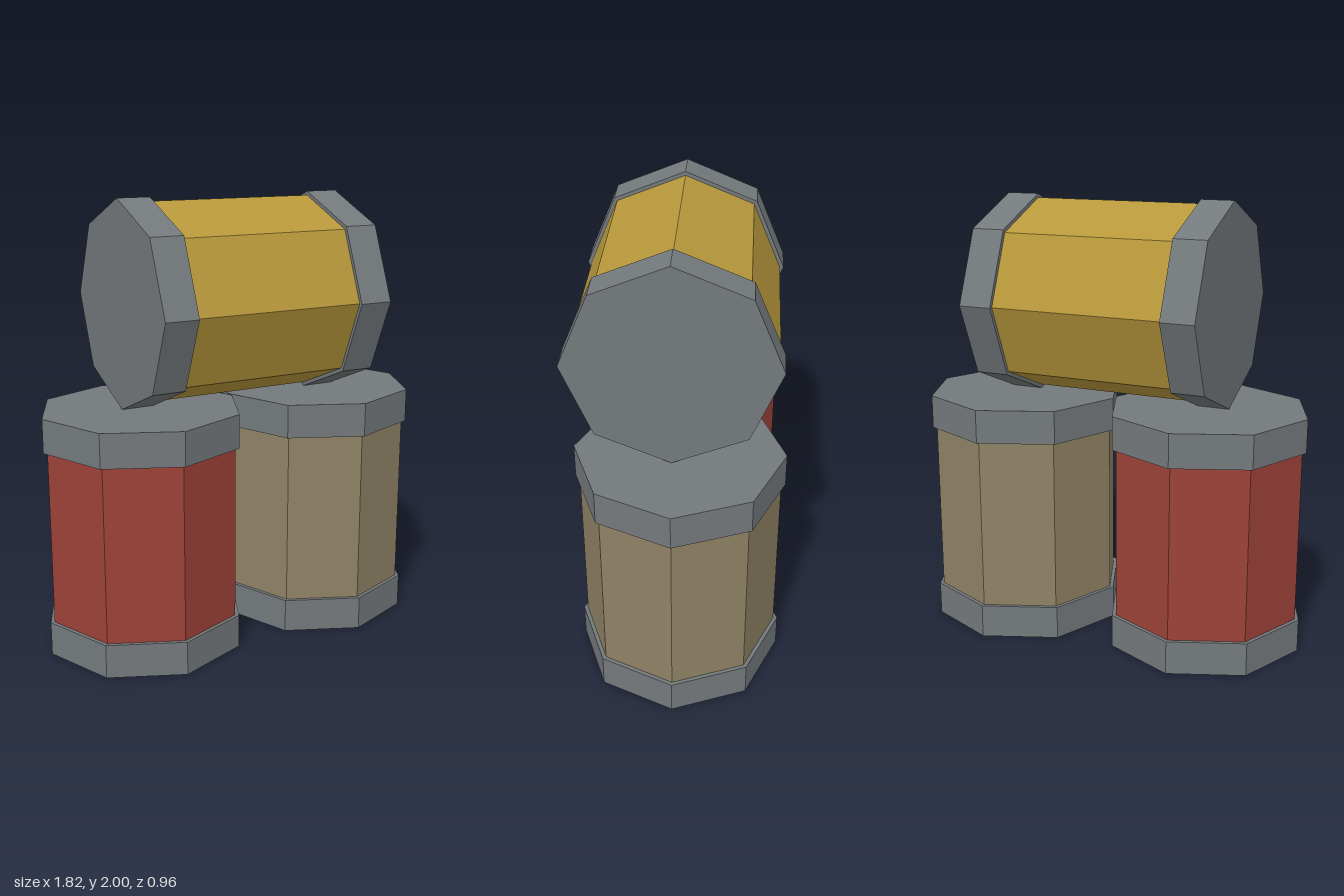
import * as THREE from 'three';

const SIDES = 8;
const HEIGHT = 1.09;
const CAP = 0.152;
const CAP_RADIUS = 0.455;
const BODY_RADIUS = 0.437;

const material = (name, color) => {
  const m = new THREE.MeshStandardMaterial({ color });
  m.name = name;
  return m;
};

// Eight-sided prism with crisp facets, centred at height y
function prism(name, radius, height, y, mat) {
  const geometry = new THREE.CylinderGeometry(radius, radius, height, SIDES).toNonIndexed();
  geometry.computeVertexNormals();
  const mesh = new THREE.Mesh(geometry, mat);
  mesh.name = name;
  mesh.position.y = y;
  return mesh;
}

// Barrel centred on its own origin, axis along y
function barrel(name, bodyMat, capMat) {
  const group = new THREE.Group();
  group.name = name;
  const capY = (HEIGHT - CAP) / 2;
  group.add(
    prism('body', BODY_RADIUS, HEIGHT - 2 * CAP, 0, bodyMat),
    prism('bottomCap', CAP_RADIUS, CAP, -capY, capMat),
    prism('topCap', CAP_RADIUS, CAP, capY, capMat)
  );
  return group;
}

export function createModel() {
  const steel = material('steel grey', 0x74797c);
  const red = material('barrel red', 0x9c4238);
  const tan = material('barrel tan', 0x8f8265);
  const yellow = material('barrel yellow', 0xb8983b);

  const model = new THREE.Group();
  model.name = 'barrelStack';

  // Two upright barrels side by side
  const redBarrel = barrel('redBarrel', red, steel);
  redBarrel.position.set(-0.455, HEIGHT / 2, 0.013);
  const tanBarrel = barrel('tanBarrel', tan, steel);
  tanBarrel.position.set(0.453, HEIGHT / 2, -0.024);

  // Third barrel lying across the top, turned very slightly
  const yellowBarrel = barrel('yellowBarrel', yellow, steel);
  yellowBarrel.rotation.set(0, THREE.MathUtils.degToRad(1), -Math.PI / 2);
  yellowBarrel.position.set(-0.003, HEIGHT + CAP_RADIUS, 0.013);

  model.add(redBarrel, tanBarrel, yellowBarrel);
  return model;
}
